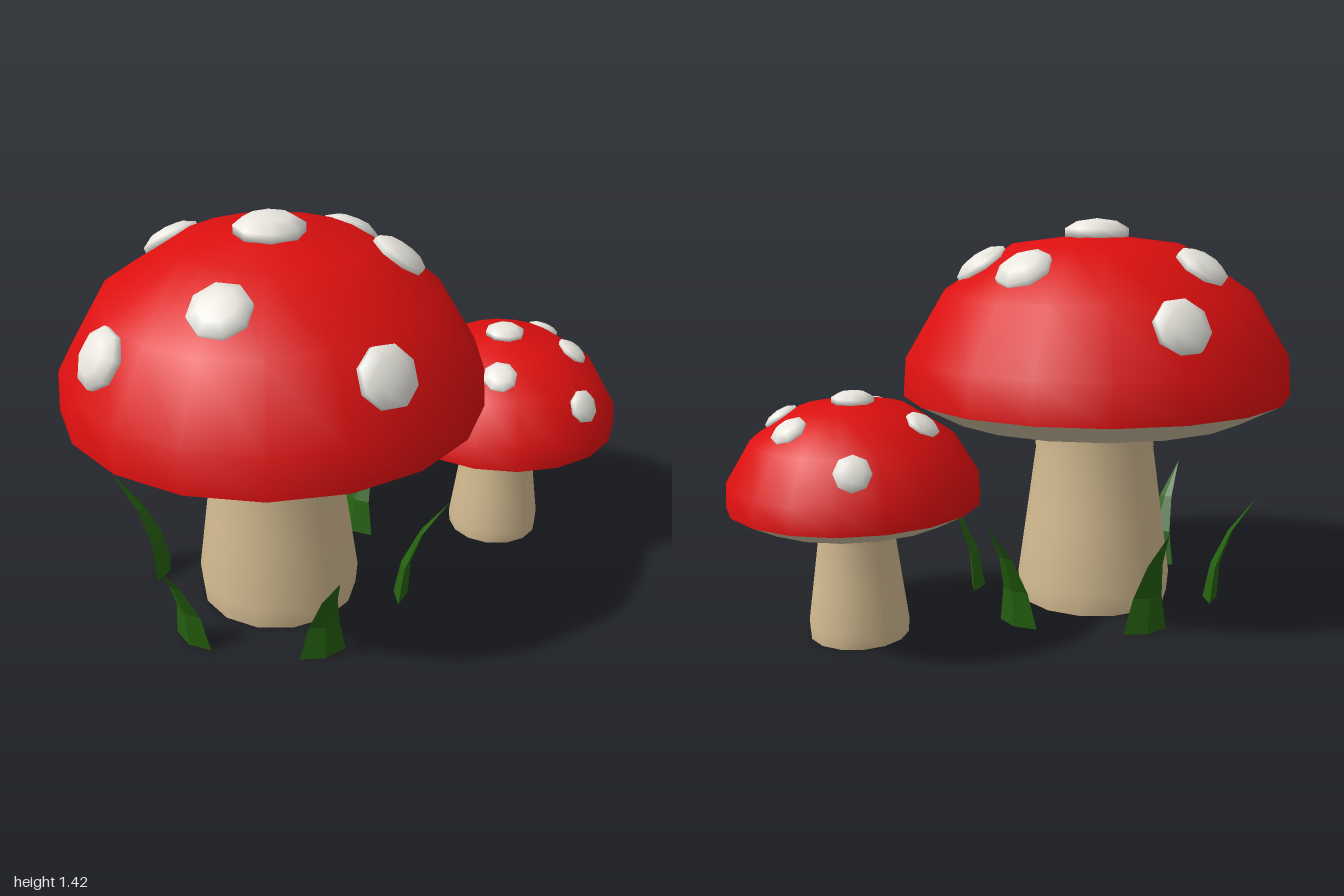
import * as THREE from 'three';

const mat = (name, color) => {
  const m = new THREE.MeshStandardMaterial({ color });
  m.name = name;
  return m;
};

// cap outline as [radius, height], rim to crown
const CAP = [[0.715, 0.79], [0.705, 0.93], [0.568, 1.16], [0.31, 1.33], [0, 1.37]];
const STEM = [[0.283, 0], [0.29, 0.08], [0.255, 0.33], [0.222, 0.57], [0.232, 0.72]];
const vec2 = (list) => list.map(([r, y]) => new THREE.Vector2(r, y));

export function createModel() {
  const red = mat('cap red', 0xdc0f0f);
  const white = mat('spot white', 0xe8e6de);
  const beige = mat('stem beige', 0xd2ba90);
  const cream = mat('gill cream', 0xcfc0a0);
  const dark = mat('stem base brown', 0x463e34);
  const green = mat('grass green', 0x25600f);

  const add = (parent, name, geometry, material) => {
    const mesh = new THREE.Mesh(geometry, material);
    mesh.name = name;
    parent.add(mesh);
    return mesh;
  };

  // one flattened spot lying on the cap at an angle and radius
  const spotGeometry = new THREE.SphereGeometry(1, 8, 5);
  function addSpot(parent, degrees, radius, size) {
    const a = THREE.MathUtils.degToRad(degrees);
    let i = CAP.length - 2;
    while (i > 0 && CAP[i][0] < radius) i--;
    const [r0, y0] = CAP[i], [r1, y1] = CAP[i + 1];
    const y = y0 + (y1 - y0) * (r0 - radius) / (r0 - r1);
    const normal = radius === 0
      ? new THREE.Vector3(0, 1, 0)
      : new THREE.Vector3((y1 - y0) * Math.cos(a), r0 - r1, (y1 - y0) * Math.sin(a)).normalize();
    const spot = add(parent, 'spot', spotGeometry, white);
    spot.position.set(radius * Math.cos(a), y, radius * Math.sin(a));
    spot.quaternion.setFromUnitVectors(new THREE.Vector3(0, 1, 0), normal);
    spot.scale.set(size, size * 0.42, size);
  }

  function mushroom(name, spots) {
    const g = new THREE.Group();
    g.name = name;
    add(g, 'cap', new THREE.LatheGeometry(vec2(CAP), 18, Math.PI / 2), red);
    const gills = new THREE.CylinderGeometry(0.713, 0.56, 0.08, 18, 1, false, Math.PI / 2);
    add(g, 'gills', gills.translate(0, 0.75, 0), cream);
    add(g, 'stem', new THREE.LatheGeometry(vec2(STEM), 14, Math.PI / 2), beige);
    add(g, 'stemBase', new THREE.CircleGeometry(0.283, 14).rotateX(Math.PI / 2), dark);
    addSpot(g, 0, 0, 0.124);
    for (const [degrees, radius] of spots) addSpot(g, degrees, radius, 0.106);
    return g;
  }

  const model = new THREE.Group();
  model.name = 'mushrooms';

  const large = mushroom('largeMushroom', [
    [0, 0.42], [44, 0.42], [105, 0.615], [158, 0.43], [195.5, 0.617], [264.6, 0.42], [297.4, 0.61],
  ]);
  large.position.set(-0.285, 0, -0.06);
  model.add(large);

  const small = mushroom('smallMushroom', [
    [5, 0.425], [58, 0.415], [97.5, 0.615], [151.6, 0.42], [250.7, 0.425], [313, 0.607],
  ]);
  small.position.set(0.567, 0, 0.335);
  small.scale.setScalar(0.605);
  model.add(small);

  // grass blade: thin cone bent outward along +x
  const blade = new THREE.ConeGeometry(1, 0.4, 4, 3).scale(0.026, 1, 0.083).translate(0, 0.2, 0);
  const p = blade.attributes.position;
  for (let i = 0; i < p.count; i++) {
    p.setX(i, p.getX(i) + 0.165 * Math.pow(Math.max(0, p.getY(i)) / 0.4, 2.1));
  }
  const flatBlade = blade.toNonIndexed();
  flatBlade.computeVertexNormals();

  // six blades in a ring around the large stem
  for (let i = 0; i < 6; i++) {
    const a = i * Math.PI / 3;
    const mesh = add(model, 'grassBlade', flatBlade, green);
    mesh.position.set(-0.28 + 0.45 * Math.cos(a), 0, -0.06 + 0.45 * Math.sin(a));
    mesh.rotation.y = -a;
  }
  return model;
}
